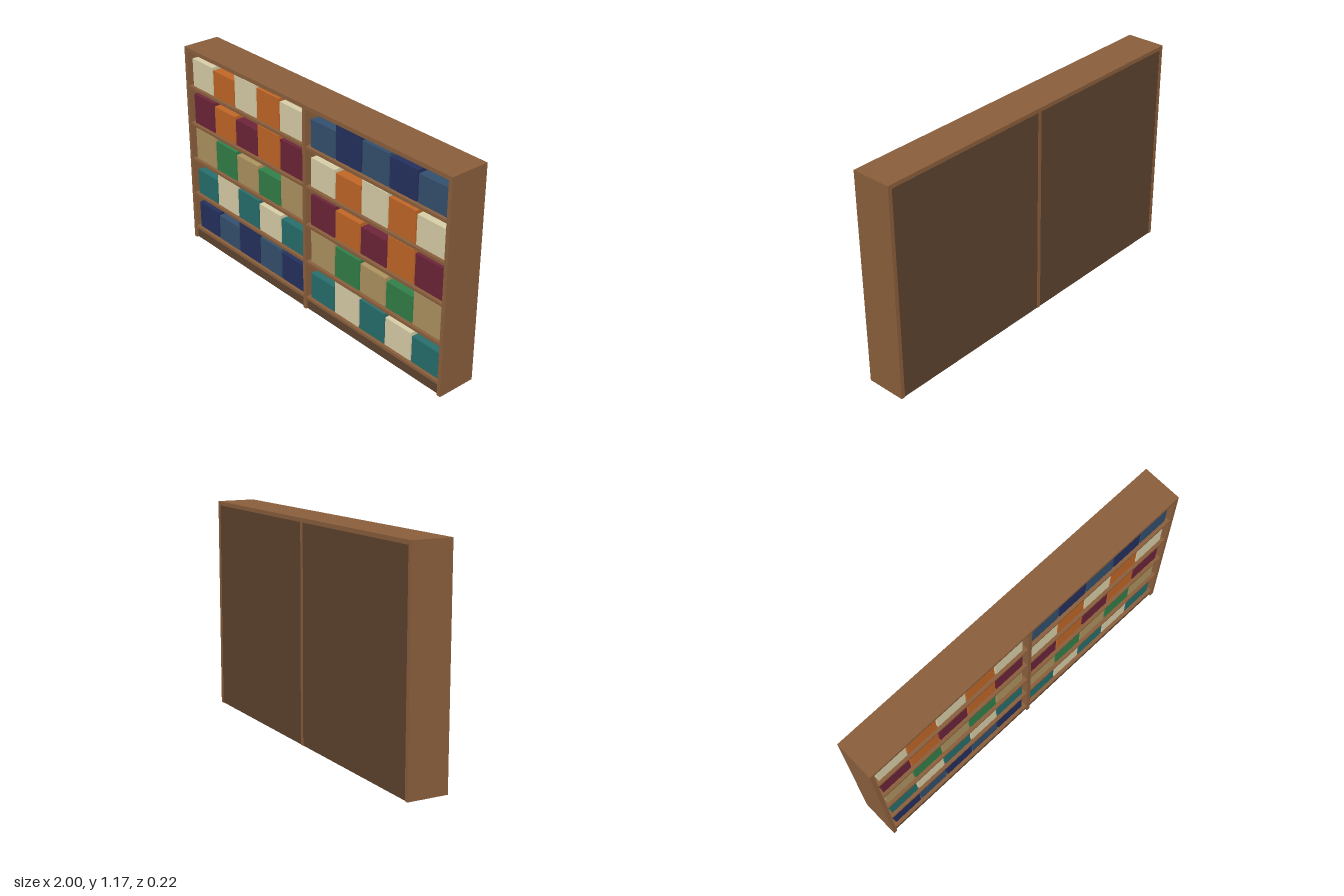
import * as THREE from 'three';

const mat = (name, color) => {
  const m = new THREE.MeshStandardMaterial({ color });
  m.name = name;
  return m;
};

export function createModel() {
  const wood = mat('wood', 0x8b5f3c);
  const darkWood = mat('darkWood', 0x5f442f);
  const cream = mat('cream', 0xd8cea8);
  const orange = mat('orange', 0xc16626);
  const navy = mat('navy', 0x24305e);
  const steel = mat('steelBlue', 0x33506e);
  const teal = mat('teal', 0x276f6d);
  const tan = mat('tan', 0xad9360);
  const green = mat('green', 0x327f49);
  const maroon = mat('maroon', 0x6d2439);

  const W = 2, H = 1.175, D = 0.218, T = 0.022;
  const half = D / 2;
  const group = new THREE.Group();
  group.name = 'bookcase';

  // Box given by its minimum and maximum corners
  const box = (name, material, x0, x1, y0, y1, z0, z1, parent = group) => {
    const mesh = new THREE.Mesh(new THREE.BoxGeometry(x1 - x0, y1 - y0, z1 - z0), material);
    mesh.position.set((x0 + x1) / 2, (y0 + y1) / 2, (z0 + z1) / 2);
    mesh.name = name;
    parent.add(mesh);
  };

  // Outer frame and centre divider
  box('topBoard', wood, -W / 2, W / 2, H - T, H, -half, half);
  box('leftSide', wood, W / 2 - T, W / 2, 0, H - T, -half, half);
  box('rightSide', wood, -W / 2, -W / 2 + T, 0, H - T, -half, half);
  box('divider', wood, -T / 2, T / 2, 0, H - T, -half, half);

  const bayCentre = (W / 2 - T + T / 2) / 2;
  const bayHalf = (W / 2 - T - T / 2) / 2;
  const pitch = 0.187, bookWidth = 0.178, rowPitch = 0.2193, firstShelf = 0.076;
  const heights = [0.16, 0.148, 0.185, 0.172];

  // Alternating colour pairs, bottom row first, for each bay
  const rows = [
    [[navy, steel], [teal, cream], [tan, green], [maroon, orange], [cream, orange]],
    [[teal, cream], [tan, green], [maroon, orange], [cream, orange], [steel, navy]],
  ];

  rows.forEach((bayRows, bay) => {
    const cx = bay === 0 ? -bayCentre : bayCentre;
    const x0 = cx - bayHalf, x1 = cx + bayHalf;
    const bayGroup = new THREE.Group();
    bayGroup.name = bay === 0 ? 'rightBay' : 'leftBay';
    group.add(bayGroup);

    // Back panel and plinth, set in slightly from the frame
    box('backPanel', darkWood, x0, x1, 0.001, H - T, -half + 0.002, -half + 0.014, bayGroup);
    box('plinth', darkWood, x0, x1, 0.001, firstShelf - 0.016, -half + 0.014, half - 0.01, bayGroup);

    bayRows.forEach((pair, r) => {
      const y = firstShelf + r * rowPitch;
      box('shelf', wood, x0, x1, y - 0.016, y, -half + 0.014, half - 0.002, bayGroup);
      // Book blocks with a stepping height pattern
      for (let i = 0; i < 5; i++) {
        const bx = cx + (i - 2) * pitch;
        const h = heights[(r + bay + i) % 4];
        box('bookBlock', pair[i % 2], bx - bookWidth / 2, bx + bookWidth / 2,
          y, y + h, -half + 0.03, half - 0.02, bayGroup);
      }
    });
  });

  return group;
}
